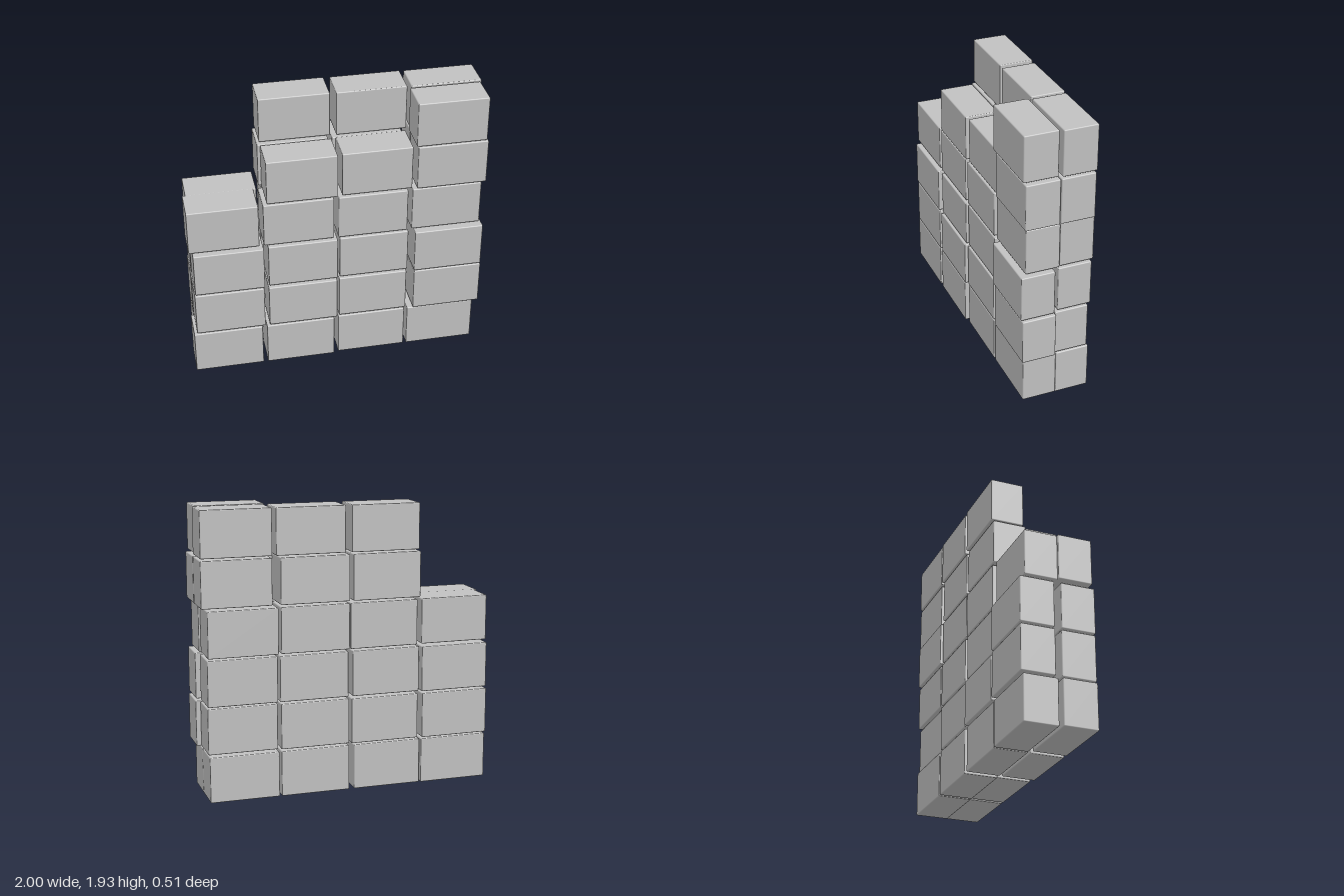
import * as THREE from 'three';
import { RoundedBoxGeometry } from 'three/addons/geometries/RoundedBoxGeometry.js';

// Block size and vertical spacing of the courses
const WIDTH = 0.47, HEIGHT = 0.31, DEPTH = 0.23, PITCH = 0.324;

// Each course, bottom to top: block centres [x, z]; the loose spacing is deliberate
const FRONT = [
  [[-0.765, 0.125], [-0.265, 0.125], [0.235, 0.11], [0.725, 0.11]],
  [[-0.745, 0.13], [-0.245, 0.13], [0.24, 0.115], [0.76, 0.13]],
  [[-0.74, 0.135], [-0.24, 0.12], [0.245, 0.11], [0.755, 0.14]],
  [[-0.765, 0.11], [-0.265, 0.11], [0.235, 0.11], [0.735, 0.105]],
  [[-0.24, 0.115], [0.26, 0.105], [0.76, 0.12]],
  [[0.745, 0.13]],
];
const BACK = [
  [[-0.745, -0.125], [-0.265, -0.12], [0.24, -0.12], [0.725, -0.12]],
  [[-0.745, -0.14], [-0.245, -0.13], [0.24, -0.12], [0.73, -0.105]],
  [[-0.74, -0.14], [-0.255, -0.12], [0.245, -0.12], [0.73, -0.12]],
  [[-0.745, -0.11], [-0.24, -0.12], [0.235, -0.12], [0.725, -0.13]],
  [[-0.26, -0.12], [0.235, -0.12], [0.76, -0.115]],
  [[-0.245, -0.13], [0.265, -0.125], [0.76, -0.12]],
];

export function createModel() {
  const model = new THREE.Group();
  model.name = 'blockWall';
  const stone = new THREE.MeshStandardMaterial({ color: 0xc0c0c0 });
  stone.name = 'greyStone';
  // One block with narrow softened edges, shared by the whole wall
  const block = new RoundedBoxGeometry(WIDTH, HEIGHT, DEPTH, 1, 0.007);

  function addLayer(name, courses) {
    const layer = new THREE.Group();
    layer.name = name;
    courses.forEach((course, row) => {
      for (const [x, z] of course) {
        const mesh = new THREE.Mesh(block, stone);
        mesh.name = 'block';
        mesh.position.set(x, HEIGHT / 2 + row * PITCH, z);
        layer.add(mesh);
      }
    });
    model.add(layer);
  }

  addLayer('frontLayer', FRONT);
  addLayer('backLayer', BACK);
  return model;
}
